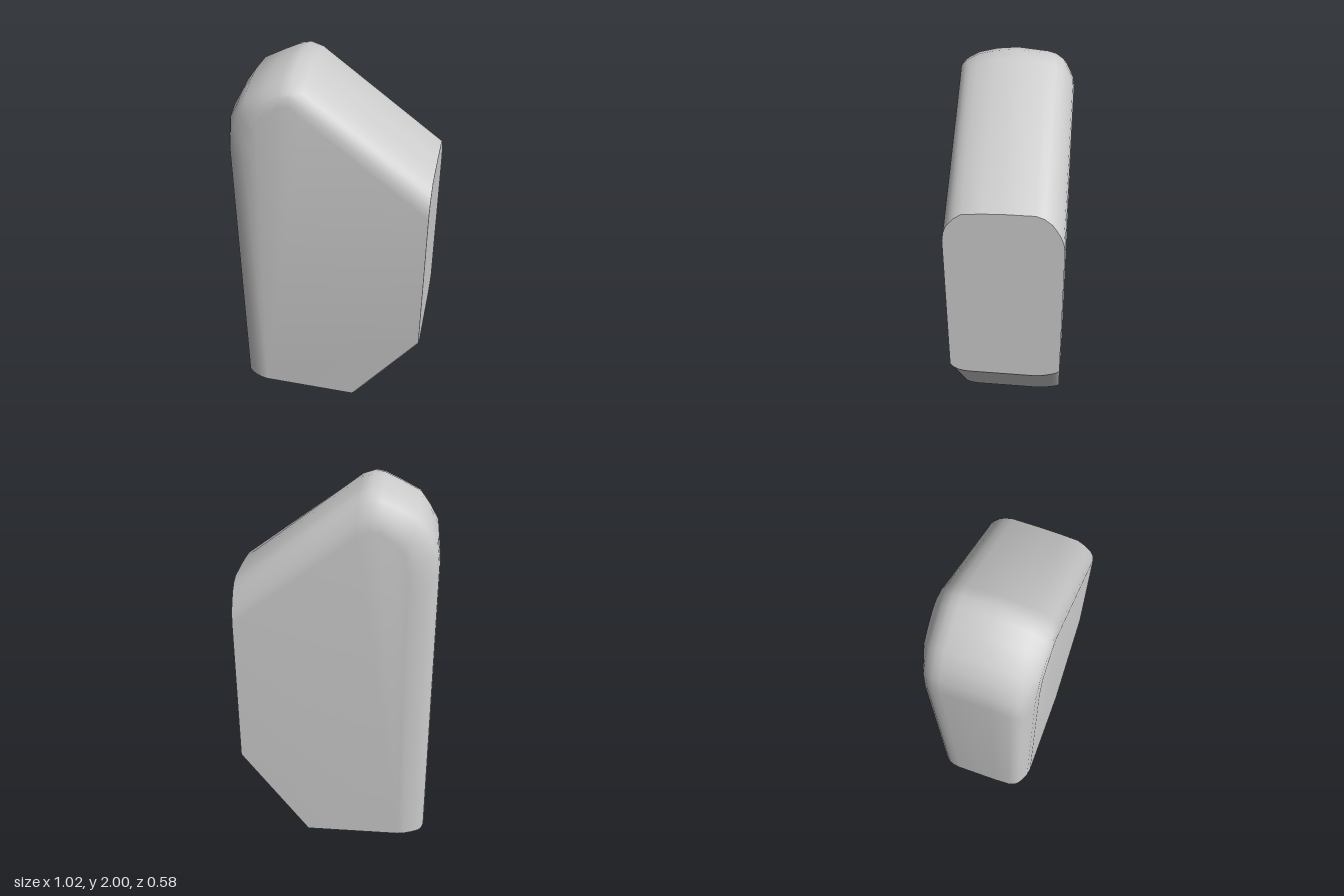
import * as THREE from 'three';
import { toCreasedNormals } from 'three/addons/utils/BufferGeometryUtils.js';

// Slices along z: [z, left inset, crown drop, upper slope drop, lower slope inset]
const SLICES = [
  [-0.287, 0.15, 0.19, 0.2, 0.035],
  [-0.28, 0.11, 0.15, 0.15, 0.028],
  [-0.265, 0.068, 0.115, 0.11, 0.021],
  [-0.245, 0.03, 0.075, 0.075, 0.015],
  [-0.225, 0.015, 0.05, 0.045, 0.01],
  [-0.19, 0.004, 0.025, 0.015, 0.003],
  [-0.15, 0, 0.014, 0, 0],
  [0, 0, 0, 0, 0],
  [0.1, 0, 0.01, 0.005, 0],
  [0.19, 0.004, 0.033, 0.014, 0],
  [0.225, 0.016, 0.053, 0.04, 0.003],
  [0.245, 0.035, 0.064, 0.063, 0.008],
  [0.265, 0.068, 0.08, 0.09, 0.016],
  [0.278, 0.1, 0.097, 0.125, 0.028],
  [0.285, 0.14, 0.14, 0.17, 0.036],
];

// Outline of one slice, anticlockwise seen from the front
function outline([z, left, crown, slope, low]) {
  const points = [
    [-0.508 + left, 0],
    [0.183 - low, 0],
    [0.51, 0.45 + low * 1.37],
    [0.51, 1.5 - slope],
    [-0.11, 1.98 - Math.max(crown, slope)],
    [-0.17, 2 - crown],
    [-0.22, 1.99 - crown],
    [-0.3 + left * 0.15, 1.952 - crown],
    [-0.4 + left * 0.45, 1.9 - crown],
    [-0.45 + left * 0.7, 1.83 - crown],
    [-0.492 + left * 0.9, 1.755 - crown],
    [-0.508 + left, 1.62 - crown],
  ];
  // The body grows slightly thicker towards the flat end
  return points.map(([x, y]) => [x, y, z * (1 + 0.04 * x)]);
}

function bodyGeometry() {
  const loops = SLICES.map(outline);
  const n = loops[0].length;
  const index = [];
  // Walls between neighbouring slices
  for (let k = 0; k < loops.length - 1; k++) {
    for (let i = 0; i < n; i++) {
      const j = (i + 1) % n;
      const a = k * n + i, b = k * n + j;
      index.push(a, b, b + n, a, b + n, a + n);
    }
  }
  // Broad back and front faces
  const last = (loops.length - 1) * n;
  for (let i = 1; i < n - 1; i++) {
    index.push(0, i + 1, i);
    index.push(last, last + i, last + i + 1);
  }
  const geometry = new THREE.BufferGeometry();
  geometry.setAttribute('position', new THREE.Float32BufferAttribute(loops.flat(2), 3));
  geometry.setIndex(index);
  return toCreasedNormals(geometry, 0.6);
}

export function createModel() {
  const group = new THREE.Group();
  group.name = 'roundedBlock';
  const grey = new THREE.MeshStandardMaterial({ color: 0xcccccc });
  grey.name = 'light grey';
  const body = new THREE.Mesh(bodyGeometry(), grey);
  body.name = 'body';
  group.add(body);
  return group;
}
